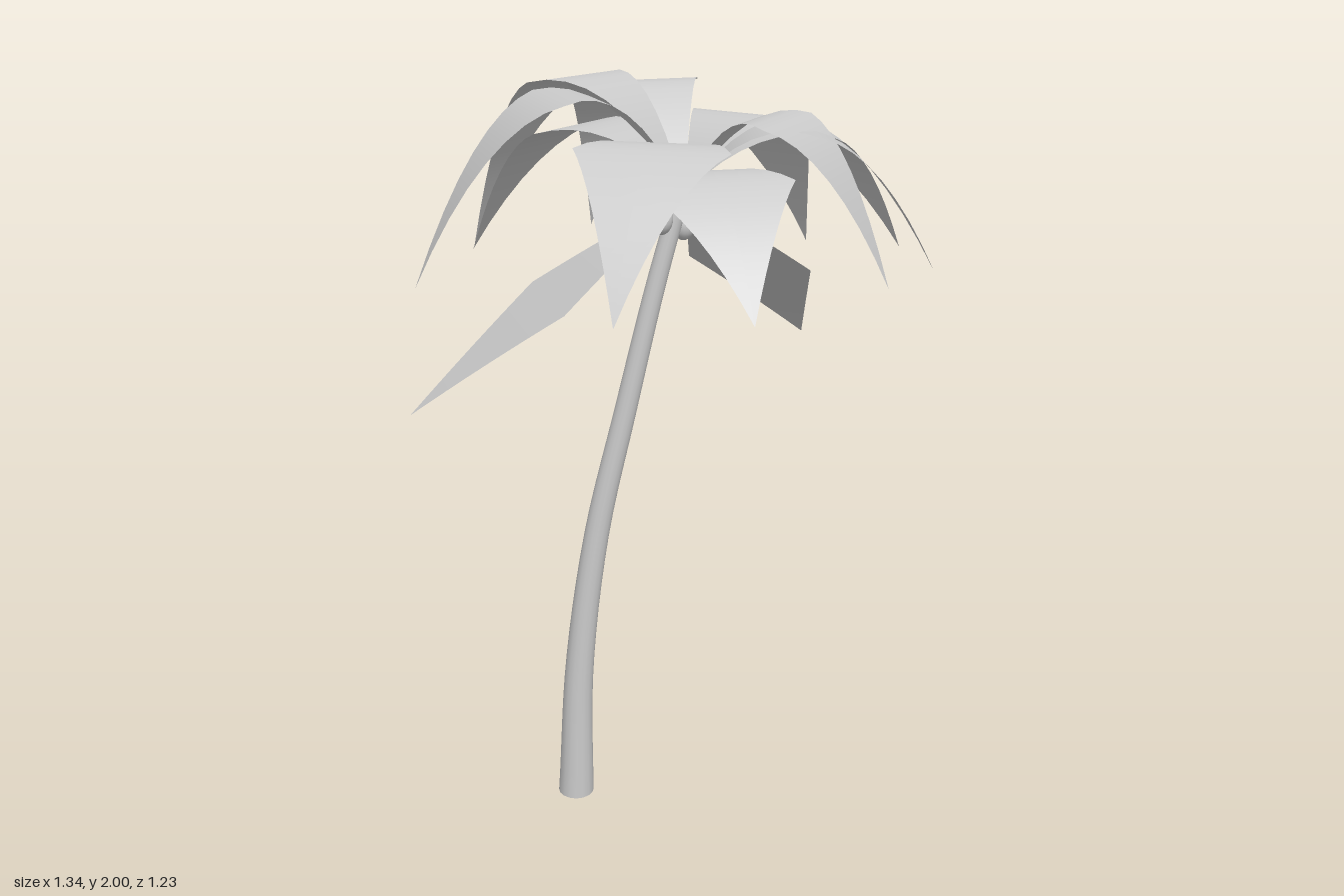
import * as THREE from 'three';

const CROWN = new THREE.Vector3(0.03, 1.72, 0.044);
const HALF_WIDTH = 0.19;

// Kite-shaped leaf running along +z, arched by a parabola through base, middle and tip heights
function frondGeometry(length, midY, tipY) {
  const mid = midY - CROWN.y, tip = tipY - CROWN.y;
  const a = 4 * mid - tip, b = 2 * tip - 4 * mid;
  const geo = new THREE.PlaneGeometry(2, 1, 2, 16).rotateX(-Math.PI / 2);
  const pos = geo.attributes.position, nor = geo.attributes.normal;
  const n = new THREE.Vector3();
  for (let i = 0; i < pos.count; i++) {
    const t = pos.getZ(i) + 0.5;
    const w = HALF_WIDTH * (1 - Math.abs(2 * t - 1));
    pos.setXYZ(i, pos.getX(i) * w, a * t + b * t * t, t * length);
    n.set(0, length, -(a + 2 * b * t)).normalize();
    nor.setXYZ(i, n.x, n.y, n.z);
  }
  return geo;
}

// Tapered round trunk following a bent path
function trunkGeometry() {
  const path = new THREE.CatmullRomCurve3([
    [-0.28, 0], [-0.262, 0.4], [-0.207, 0.8], [-0.125, 1.15], [-0.04, 1.5], [0.022, 1.72],
  ].map(([x, y]) => new THREE.Vector3(x, y, 0.05 - 0.0035 * y)));
  const rings = 24, sides = 16;
  const geo = new THREE.TubeGeometry(path, rings, 1, sides, false);
  const pos = geo.attributes.position, v = new THREE.Vector3();
  for (let i = 0; i < pos.count; i++) {
    const t = Math.floor(i / (sides + 1)) / rings;
    const c = path.getPointAt(t);
    const r = 0.023 + 0.019 * (1 - t) + 0.008 * Math.pow(1 - t, 6);
    v.fromBufferAttribute(pos, i).sub(c).multiplyScalar(r).add(c);
    pos.setXYZ(i, v.x, Math.max(0, v.y), v.z);
  }
  return geo;
}

export function createModel() {
  const group = new THREE.Group();
  const solid = new THREE.MeshStandardMaterial({ color: 0xcccccc });
  const leaf = new THREE.MeshStandardMaterial({ color: 0xcccccc, side: THREE.DoubleSide });
  const add = (name, geo, mat) => {
    const mesh = new THREE.Mesh(geo, mat);
    mesh.name = name;
    group.add(mesh);
    return mesh;
  };

  add('trunk', trunkGeometry(), solid);
  const base = add('trunkBase', new THREE.CircleGeometry(0.05, 16).rotateX(Math.PI / 2), solid);
  base.position.set(-0.28, 0, 0.05);

  // Fronds: tip x, tip z, middle height, tip height
  const fronds = [
    [-0.67, 0.2, 1.475, 1.2], [0.435, -0.545, 1.475, 1.2],
    [-0.64, 0.19, 1.965, 1.52], [-0.525, -0.345, 1.99, 1.52],
    [-0.525, -0.28, 1.87, 1.52], [-0.195, -0.62, 1.965, 1.52],
    [0.405, -0.33, 1.89, 1.52], [0.637, -0.18, 1.86, 1.53],
    [0.67, 0.08, 1.88, 1.52], [0.51, 0.28, 1.91, 1.52],
    [0.14, 0.613, 1.79, 1.52], [-0.172, 0.61, 1.865, 1.52],
  ];
  for (const [x, z, midY, tipY] of fronds) {
    const dx = x - CROWN.x, dz = z - CROWN.z;
    const frond = add('frond', frondGeometry(Math.hypot(dx, dz), midY, tipY), leaf);
    frond.position.copy(CROWN);
    frond.rotation.y = Math.atan2(dx, dz);
  }

  // Coconuts hanging under the crown
  for (const [x, y, z] of [[-0.03, 1.66, 0.065], [0.03, 1.635, 0.01], [0.03, 1.69, 0.0]]) {
    const nut = add('coconut', new THREE.SphereGeometry(0.03, 16, 12), solid);
    nut.scale.y = 1.35;
    nut.position.set(x, y, z);
  }
  return group;
}
